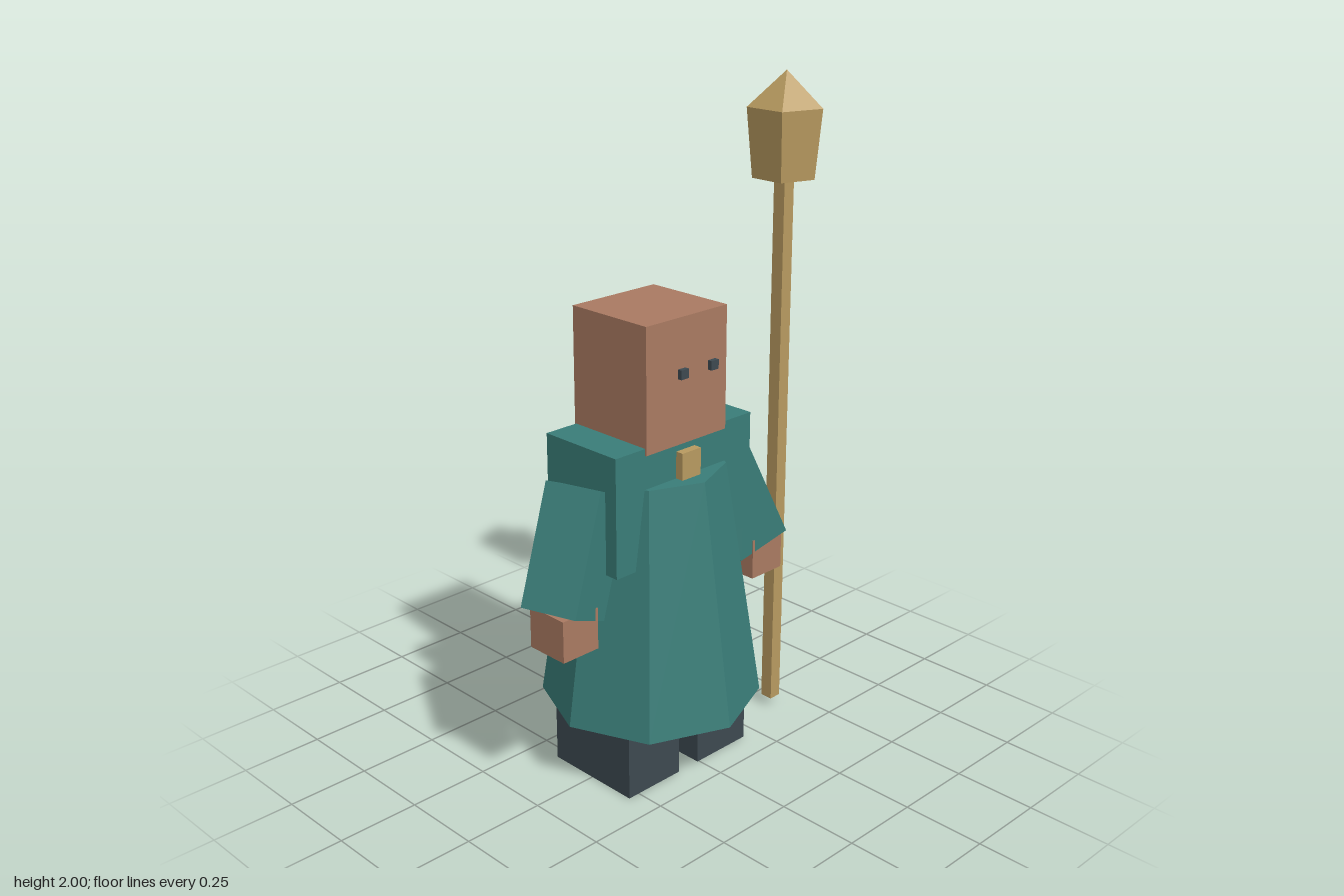
import * as THREE from 'three';

const material = (color) => new THREE.MeshStandardMaterial({ color, flatShading: true });
const CENTER_X = -0.045; // body axis; the staff offsets the whole figure

export function createModel() {
  const model = new THREE.Group();
  const cloth = material(0x3a7d78);
  const skin = material(0xaa7a62);
  const gold = material(0xb89a60);
  const dark = material(0x3d4950);

  const add = (parent, name, geometry, mat, x, y, z) => {
    const mesh = new THREE.Mesh(geometry, mat);
    mesh.name = name;
    mesh.position.set(x, y, z);
    parent.add(mesh);
    return mesh;
  };
  const box = (w, h, d) => new THREE.BoxGeometry(w, h, d);

  const body = new THREE.Group();
  body.name = 'body';
  body.position.x = CENTER_X;
  model.add(body);

  // Head, torso, clasp and flared octagonal robe
  add(body, 'head', box(0.31, 0.365, 0.29), skin, 0, 1.2175, 0);
  add(body, 'torso', box(0.53, 0.355, 0.28), cloth, 0, 0.8775, 0);
  add(body, 'clasp', box(0.072, 0.08, 0.03), gold, 0, 0.975, 0.15);
  add(body, 'robe', new THREE.CylinderGeometry(0.216, 0.326, 0.73, 8), cloth, 0, 0.57, 0);

  // Mirrored pairs
  for (const side of [1, -1]) {
    const label = side > 0 ? 'left' : 'right';
    add(body, label + 'Eye', box(0.028, 0.027, 0.014), dark, side * 0.058, 1.258, 0.188);
    add(body, label + 'Leg', box(0.203, 0.207, 0.315), dark, side * 0.141, 0.1035, 0.002);
    add(body, label + 'Hand', box(0.127, 0.125, 0.137), skin, side * 0.379, 0.5625, 0.048);

    // Sleeve leans outward, then turns toward the front
    const sleeve = add(body, label + 'Sleeve', box(0.17, 0.354, 0.173), cloth, side * 0.31, 0.762, 0.021);
    sleeve.rotation.set(0, -side * 0.314, side * 0.428, 'YXZ');
  }

  // Staff with a five-sided pointed head
  const staff = new THREE.Group();
  staff.name = 'staff';
  staff.position.set(0.412, 0, 0.077);
  model.add(staff);
  add(staff, 'staffRod', box(0.04, 1.68, 0.04), gold, 0, 0.87, 0);
  const start = Math.PI / 2;
  add(staff, 'staffHead', new THREE.CylinderGeometry(0.112, 0.093, 0.2, 5, 1, false, start), gold, 0, 1.8, 0);
  add(staff, 'staffPoint', new THREE.ConeGeometry(0.112, 0.1, 5, 1, true, start), gold, 0, 1.95, 0);

  return model;
}
